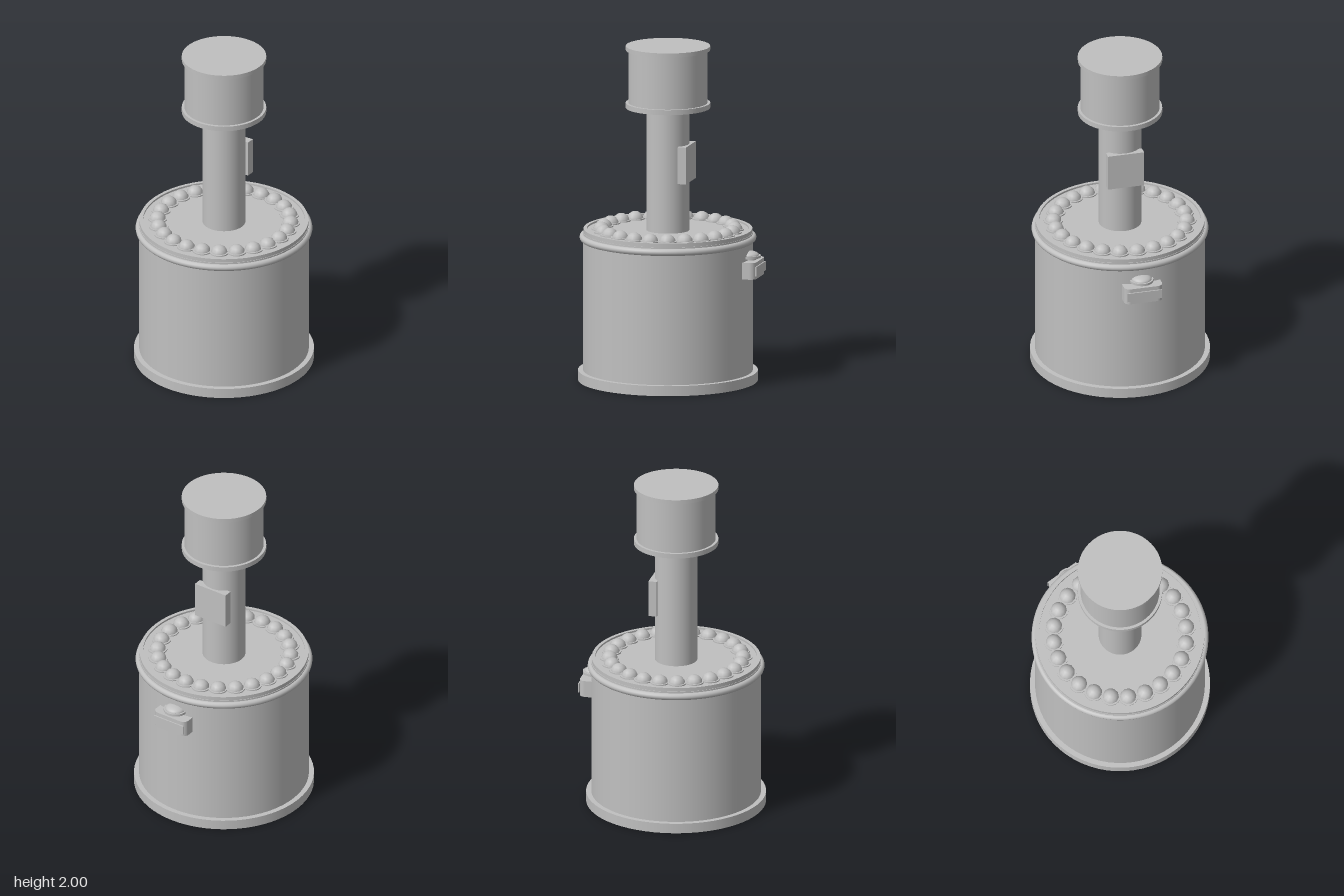
import * as THREE from 'three';

export function createModel() {
  const model = new THREE.Group();
  const grey = new THREE.MeshStandardMaterial({ color: 0xc0c0c0, side: THREE.DoubleSide });
  grey.name = 'plain grey';

  // Everything turns around one axis, slightly forward of the centre
  const axis = new THREE.Group();
  axis.name = 'machine';
  axis.position.z = 0.02;
  model.add(axis);

  function add(name, geometry, x = 0, y = 0, z = 0, parent = axis) {
    const mesh = new THREE.Mesh(geometry, grey);
    mesh.name = name;
    mesh.position.set(x, y, z);
    parent.add(mesh);
    return mesh;
  }
  const drum = (name, r, y0, y1, open = false) =>
    add(name, new THREE.CylinderGeometry(r, r, y1 - y0, 64, 1, open), 0, (y0 + y1) / 2, 0);

  // Hollow lid: wall and top disc, open below
  function lid(name, r, y0, y1) {
    drum(name + 'Wall', r, y0, y1, true);
    add(name + 'Top', new THREE.CircleGeometry(r, 64).rotateX(-Math.PI / 2), 0, y1, 0);
  }

  // Base and body
  lid('base', 0.53, 0, 0.06);
  drum('body', 0.5, 0.06, 0.885);
  add('bodyBand', new THREE.TorusGeometry(0.5, 0.021, 12, 72).rotateX(Math.PI / 2), 0, 0.855, 0);

  // Upper rim around a slightly sunken deck
  const rim = [[0.497, 0.88], [0.497, 0.908], [0.477, 0.908], [0.477, 0.88]];
  for (let i = 0; i < 3; i++) {
    const pair = [rim[i], rim[i + 1]].map(([r, y]) => new THREE.Vector2(r, y));
    add('rim', new THREE.LatheGeometry(pair, 64));
  }
  drum('deck', 0.478, 0.88, 0.897);

  // Ring of beads, each in a shallow socket
  const beadGeometry = new THREE.SphereGeometry(0.05, 10, 8);
  const socketGeometry = new THREE.CylinderGeometry(0.057, 0.057, 0.012, 24);
  const beads = new THREE.Group();
  beads.name = 'beadRing';
  axis.add(beads);
  for (let i = 0; i < 24; i++) {
    const a = (i / 24) * Math.PI * 2;
    const x = Math.sin(a) * 0.392, z = Math.cos(a) * 0.392;
    add('bead', beadGeometry, x, 0.895, z, beads).rotation.y = a;
    add('socket', socketGeometry, x, 0.898, z, beads);
  }

  // Column and head
  drum('column', 0.126, 0.89, 1.66);
  lid('headLowerFlange', 0.249, 1.63, 1.66);
  drum('head', 0.233, 1.66, 1.98);
  lid('headUpperFlange', 0.249, 1.975, 2);

  // Panel on the back of the column
  add('backPanel', new THREE.BoxGeometry(0.22, 0.22, 0.05), 0, 1.305, -0.115);

  // Latch on the back of the body: block with rounded rear corners
  const latch = new THREE.Group();
  latch.name = 'latch';
  model.add(latch);
  const w = 0.116, back = 0.543, front = 0.462, c = 0.035;
  const plan = new THREE.Shape();
  plan.moveTo(-w, front);
  plan.lineTo(w, front);
  plan.lineTo(w, back - c);
  plan.absarc(w - c, back - c, c, 0, Math.PI / 2);
  plan.lineTo(-w + c, back);
  plan.absarc(-w + c, back - c, c, Math.PI / 2, Math.PI);
  plan.closePath();
  const block = new THREE.ExtrudeGeometry(plan, { depth: 0.1, bevelEnabled: false, curveSegments: 10 });
  block.rotateX(-Math.PI / 2);
  add('latchBlock', block, 0, 0.645, 0, latch);
  add('latchPlate', new THREE.BoxGeometry(0.21, 0.055, 0.008), 0, 0.693, -0.546, latch);

  // Button on top of the latch
  add('buttonStem', new THREE.CylinderGeometry(0.045, 0.045, 0.02, 32), 0, 0.75, -0.475, latch);
  add('buttonDisc', new THREE.CylinderGeometry(0.07, 0.07, 0.014, 40), 0, 0.764, -0.475, latch);
  const dome = new THREE.SphereGeometry(0.06, 32, 10, 0, Math.PI * 2, 0, Math.PI / 2).scale(1, 0.45, 1);
  add('buttonDome', dome, 0, 0.77, -0.475, latch);

  return model;
}
